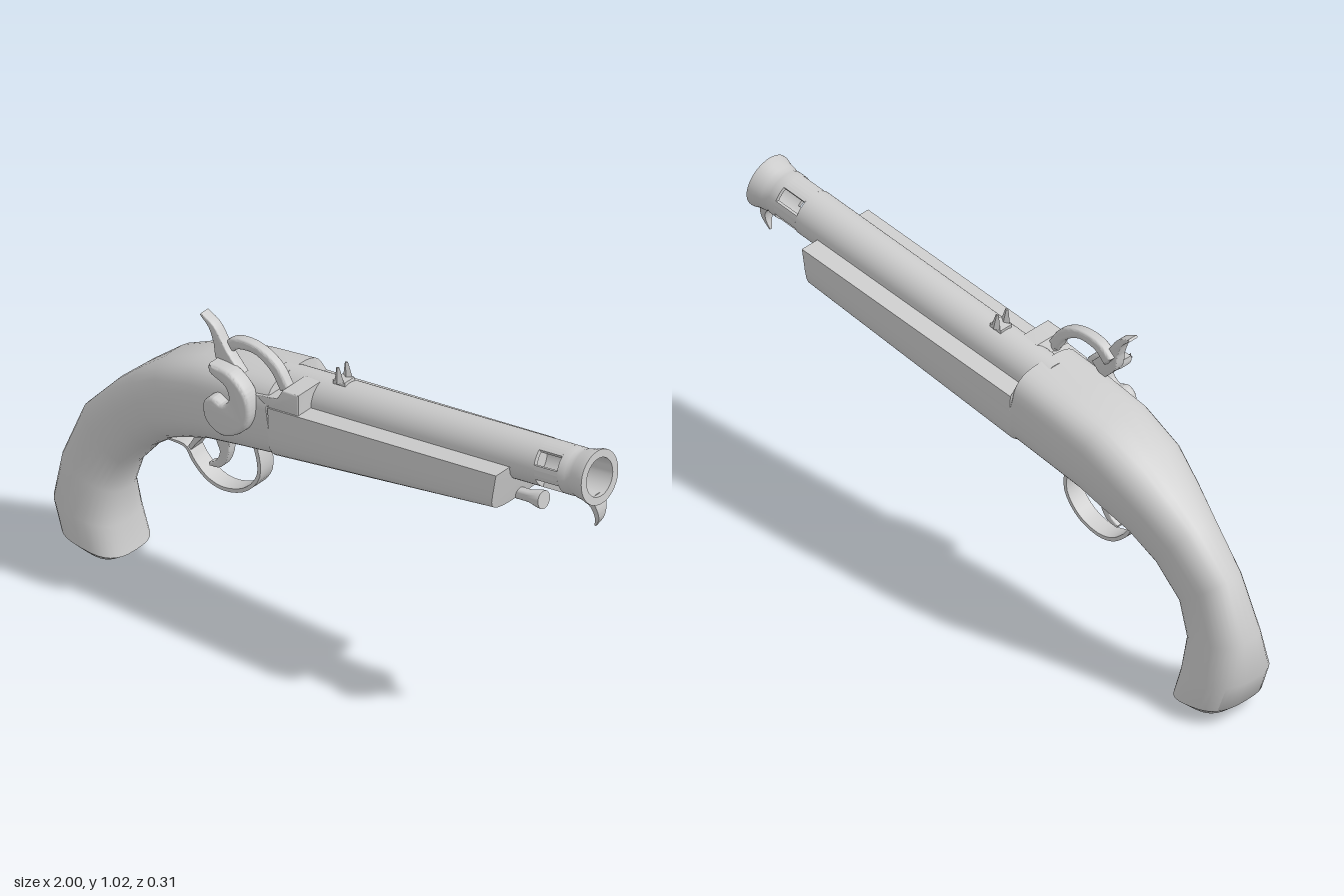
import * as THREE from 'three';
import { toCreasedNormals } from 'three/addons/utils/BufferGeometryUtils.js';

const ZC = -0.017; // centre plane of stock and barrel
const TILT = Math.atan(0.117); // barrel elevation
const material = new THREE.MeshStandardMaterial({ color: 0xcccccc, side: THREE.DoubleSide });

function part(name, geometry, x = 0, y = 0, z = 0, crease = 0.65) {
  const mesh = new THREE.Mesh(toCreasedNormals(geometry, crease), material);
  mesh.name = name;
  mesh.position.set(x, y, z);
  return mesh;
}

// Extrude a side outline, centred on z = 0
function slab(shape, depth, bevel = 0) {
  const g = new THREE.ExtrudeGeometry(shape, {
    depth: depth - 2 * bevel, bevelEnabled: bevel > 0, bevelThickness: bevel,
    bevelSize: bevel, bevelOffset: -bevel, bevelSegments: 3, curveSegments: 16,
  });
  return g.translate(0, 0, -depth / 2 + bevel);
}

// Curved strip of varying width in the xy plane, extruded in z
function ribbon(points, widths, depth, bevel = 0) {
  const curve = new THREE.CatmullRomCurve3(points.map(([x, y]) => new THREE.Vector3(x, y, 0)));
  const n = 28, sideA = [], sideB = [];
  for (let i = 0; i <= n; i++) {
    const p = curve.getPoint(i / n), t = curve.getTangent(i / n);
    const f = (i / n) * (widths.length - 1), k = Math.min(Math.floor(f), widths.length - 2);
    const w = THREE.MathUtils.lerp(widths[k], widths[k + 1], f - k) / 2;
    sideA.push(new THREE.Vector2(p.x - t.y * w, p.y + t.x * w));
    sideB.unshift(new THREE.Vector2(p.x + t.y * w, p.y - t.x * w));
  }
  return slab(new THREE.Shape([...sideA, ...sideB]), depth, bevel);
}

// Stock: rings between a back/top point and a front/bottom point
function stockGeometry() {
  // [backX, backY, frontX, frontY, halfWidth, roundness, flatTop]
  const stations = [
    [-0.92, 0.025, -0.77, 0.005, 0.085, 0.7],
    [-0.965, 0.065, -0.735, 0.03, 0.118, 0.7],
    [-1.0, 0.16, -0.76, 0.125, 0.116, 0.75],
    [-0.985, 0.29, -0.765, 0.23, 0.088, 0.8],
    [-0.91, 0.47, -0.73, 0.33, 0.078, 0.8],
    [-0.79, 0.60, -0.65, 0.427, 0.092, 0.8],
    [-0.70, 0.68, -0.56, 0.497, 0.112, 0.75],
    [-0.60, 0.76, -0.47, 0.54, 0.132, 0.7],
    [-0.45, 0.827, -0.39, 0.57, 0.137, 0.65],
    [-0.30, 0.853, -0.27, 0.595, 0.137, 0.6],
    [-0.15, 0.875, -0.14, 0.617, 0.137, 0.6],
    [-0.14, 0.805, -0.13, 0.619, 0.137, 0.6, true],
    [0.71, 0.90, 0.685, 0.758, 0.137, 0.6, true],
  ];
  const N = 32, pos = [], index = [];
  const power = (v, p) => Math.sign(v) * Math.abs(v) ** p;
  for (const [bx, by, fx, fy, w, p, flat] of stations) {
    for (let j = 0; j < N; j++) {
      const a = (j / N) * Math.PI * 2;
      let c = Math.cos(a), s = Math.sin(a);
      if (flat && s >= 0) {
        const m = Math.max(Math.abs(c), Math.abs(s));
        c /= m; s /= m;
      } else {
        c = power(c, p); s = power(s, p);
      }
      pos.push((bx + fx) / 2 + (bx - fx) / 2 * s, (by + fy) / 2 + (by - fy) / 2 * s, ZC + w * c);
    }
  }
  const last = (stations.length - 1) * N;
  for (let i = 0; i < last; i += N) {
    for (let j = 0; j < N; j++) {
      const a = i + j, b = i + (j + 1) % N;
      index.push(a, a + N, b, b, a + N, b + N);
    }
  }
  const c0 = pos.length / 3, c1 = c0 + 1;
  pos.push(-0.845, 0.003, ZC, 0.7, 0.83, ZC);
  for (let j = 0; j < N; j++) {
    const k = (j + 1) % N;
    index.push(c0, j, k, c1, last + k, last + j);
  }
  const g = new THREE.BufferGeometry();
  g.setAttribute('position', new THREE.Float32BufferAttribute(pos, 3));
  g.setIndex(index);
  return g;
}

const lathe = (pts, n = 40) => new THREE.LatheGeometry(pts.map(([r, y]) => new THREE.Vector2(r, y)), n);

// Barrel along local +y, with four windows behind the flared muzzle
function createBarrel() {
  const barrel = new THREE.Group();
  barrel.name = 'barrel';
  barrel.add(part('barrelTube', lathe([[0, 0], [0.073, 0], [0.073, 0.987], [0.058, 0.987], [0.058, 0.93], [0, 0.93]])));
  const rad = THREE.MathUtils.degToRad;
  for (const [from, to] of [[-33, 33], [71, 109], [147, 213], [251, 289]]) {
    const s = new THREE.Shape();
    s.absarc(0, 0, 0.073, rad(from), rad(to), false);
    s.absarc(0, 0, 0.058, rad(to), rad(from), true);
    const g = slab(s, 0.086).rotateX(-Math.PI / 2);
    barrel.add(part('windowBar', g, 0, 1.03, 0));
  }
  barrel.add(part('muzzle', lathe([[0.058, 1.073], [0.073, 1.073], [0.073, 1.1], [0.07, 1.11], [0.075, 1.125],
    [0.078, 1.145], [0.085, 1.166], [0.085, 1.174], [0.06, 1.174], [0.058, 1.073]])));
  barrel.position.set(-0.18, 0.8, ZC);
  barrel.rotation.z = TILT - Math.PI / 2;
  return barrel;
}

function createLock() {
  const lock = new THREE.Group();
  lock.name = 'lock';
  // Comma-shaped hammer base
  const outline = [[-0.335, 0.896], [-0.26, 0.89], [-0.2, 0.84], [-0.185, 0.77], [-0.215, 0.705], [-0.285, 0.67],
    [-0.345, 0.7], [-0.355, 0.757], [-0.325, 0.785], [-0.285, 0.775], [-0.262, 0.8], [-0.275, 0.84], [-0.33, 0.866]];
  const s = new THREE.Shape();
  s.moveTo(...outline[0]);
  s.splineThru([...outline.slice(1), outline[0]].map(([x, y]) => new THREE.Vector2(x, y)));
  lock.add(part('hammerBase', slab(s, 0.06, 0.012), 0, 0, 0.125));
  lock.add(part('hammerSpur', ribbon([[-0.4, 1.02], [-0.36, 0.99], [-0.335, 0.945], [-0.315, 0.9], [-0.27, 0.85]],
    [0.008, 0.022, 0.035, 0.06, 0.06], 0.036, 0.003), 0, 0, 0.09));
  lock.add(part('hammerBeak', ribbon([[-0.33, 0.915], [-0.285, 0.95], [-0.21, 0.955], [-0.145, 0.92], [-0.105, 0.862]],
    [0.04, 0.035, 0.03, 0.035, 0.036], 0.036, 0.008), 0, 0, 0.07));
  // Block and nipple beside the breech
  const block = new THREE.Shape([[-0.19, 0.83], [-0.14, 0.8], [-0.03, 0.81], [-0.03, 0.885], [-0.09, 0.88], [-0.11, 0.845]]
    .map(([x, y]) => new THREE.Vector2(x, y)));
  lock.add(part('bolster', slab(block, 0.11, 0.004), 0, 0, 0.06));
  const nipple = part('nipple', new THREE.CylinderGeometry(0.014, 0.02, 0.06, 16), -0.105, 0.86, 0.07);
  nipple.rotation.z = 0.5;
  lock.add(nipple);
  return lock;
}

function createTriggerGroup() {
  const group = new THREE.Group();
  group.name = 'triggerAssembly';
  group.position.z = ZC;
  group.add(part('triggerGuard', ribbon([[-0.6, 0.475], [-0.53, 0.473], [-0.5, 0.435], [-0.45, 0.395], [-0.39, 0.383],
    [-0.31, 0.41], [-0.26, 0.475], [-0.265, 0.55], [-0.3, 0.62]], [0.006, 0.012, 0.012, 0.012, 0.012, 0.016], 0.06)));
  group.add(part('guardBracket', ribbon([[-0.52, 0.468], [-0.5, 0.5], [-0.46, 0.56]], [0.012, 0.016, 0.03], 0.05)));
  group.add(part('trigger', ribbon([[-0.41, 0.6], [-0.405, 0.54], [-0.4, 0.49], [-0.42, 0.45], [-0.455, 0.435]],
    [0.07, 0.055, 0.03, 0.025, 0.01], 0.032, 0.003)));
  const plate = part('triggerPlate', new THREE.BoxGeometry(0.26, 0.02, 0.07), -0.39, 0.568, 0);
  plate.rotation.z = 0.3;
  group.add(plate);
  return group;
}

export function createModel() {
  const model = new THREE.Group();
  model.name = 'pistol';
  model.add(part('stock', stockGeometry()), createBarrel(), createLock(), createTriggerGroup());

  // Ramrod tip below the barrel
  const ramrod = part('ramrod', lathe([[0, 0], [0.018, 0], [0.019, 0.15], [0.028, 0.19], [0.028, 0.2], [0, 0.2]], 24), 0.58, 0.757, ZC);
  ramrod.rotation.z = TILT - Math.PI / 2;
  model.add(ramrod);

  // Notched sight
  const sight = new THREE.Group();
  sight.name = 'sight';
  sight.position.set(0.035, 0.895, ZC);
  sight.rotation.z = TILT;
  sight.add(part('sightBase', new THREE.BoxGeometry(0.045, 0.025, 0.045)));
  for (const side of [-1, 1]) {
    const ear = part('sightEar', new THREE.CylinderGeometry(0.006, 0.018, 0.05, 4, 1), 0, 0.032, side * 0.02);
    ear.scale.z = 0.6;
    sight.add(ear);
  }
  model.add(sight);

  // Hook under the muzzle, narrowing to its tip
  const hook = ribbon([[0.965, 0.87], [0.982, 0.84], [0.986, 0.805], [0.972, 0.768]], [0.03, 0.022, 0.016, 0.004], 0.055);
  const p = hook.attributes.position;
  for (let i = 0; i < p.count; i++) p.setZ(i, p.getZ(i) * THREE.MathUtils.clamp((p.getY(i) - 0.755) / 0.1, 0.1, 1));
  model.add(part('muzzleHook', hook, 0, 0, ZC));
  return model;
}
